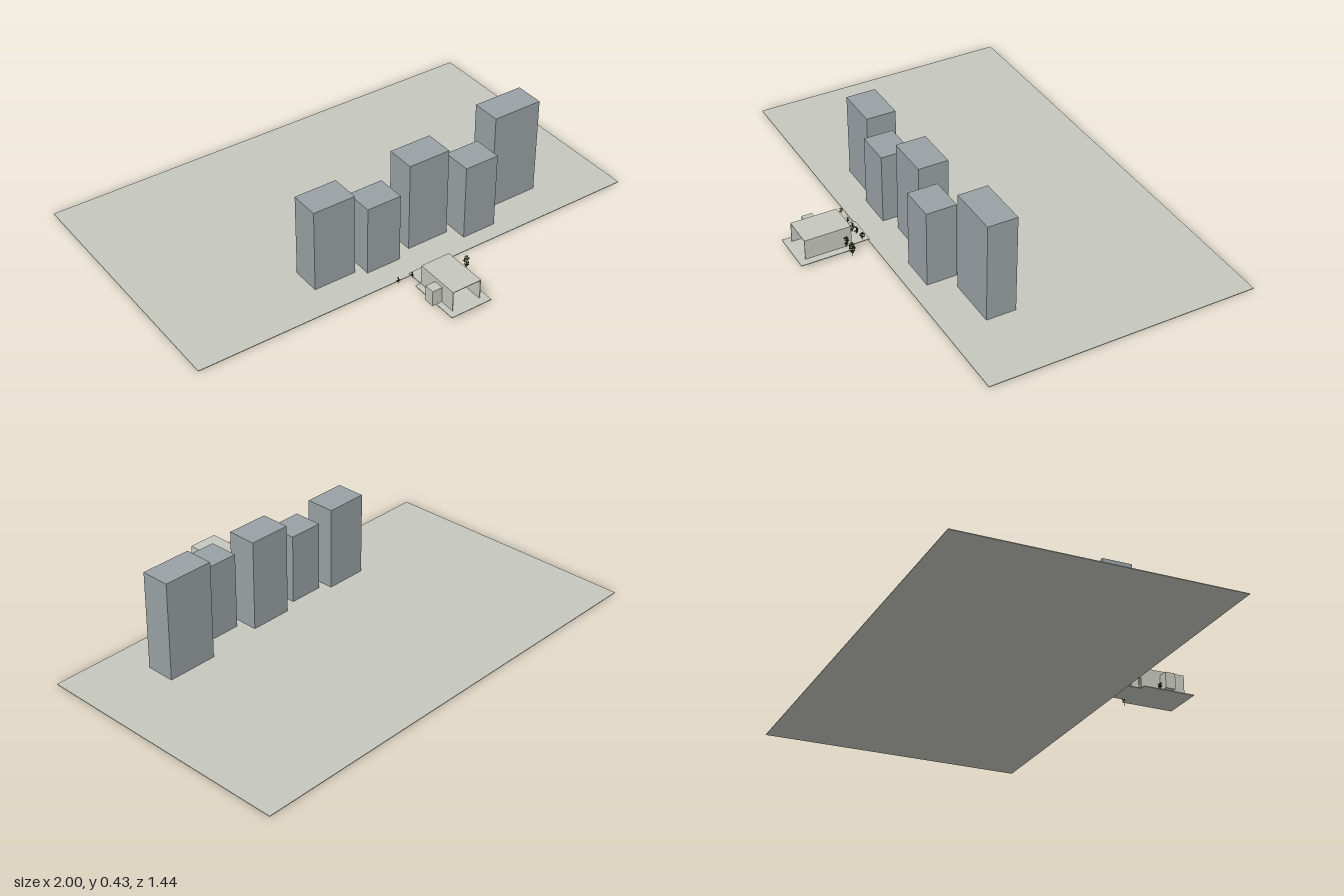
import * as THREE from 'three';

export function createModel() {
  const model = new THREE.Group();
  const mat = (name, color) => {
    const m = new THREE.MeshStandardMaterial({ color });
    m.name = name;
    return m;
  };
  const concrete = mat('pale concrete', 0xc6c8be);
  const towerGrey = mat('tower grey', 0x99a1a4);
  const leafGreen = mat('dark leaf green', 0x36451f);
  leafGreen.side = THREE.DoubleSide;
  const bark = mat('bark brown', 0x3a3022);

  // Box given by its limits on each axis
  const block = (name, material, x0, x1, y0, y1, z0, z1, parent = model) => {
    const mesh = new THREE.Mesh(new THREE.BoxGeometry(x1 - x0, y1 - y0, z1 - z0), material);
    mesh.position.set((x0 + x1) / 2, (y0 + y1) / 2, (z0 + z1) / 2);
    mesh.name = name;
    parent.add(mesh);
    return mesh;
  };

  // Ground plate
  block('ground', concrete, -1, 1, 0, 0.003, -0.72, 0.415);

  // Five plain towers: x range, z range, height
  [
    [-0.408, -0.224, 0.152, 0.278, 0.363],
    [-0.188, -0.036, 0.185, 0.31, 0.304],
    [0.03, 0.215, 0.152, 0.278, 0.394],
    [0.25, 0.402, 0.217, 0.344, 0.332],
    [0.465, 0.685, 0.123, 0.248, 0.426],
  ].forEach(([x0, x1, z0, z1, h], i) => block('tower' + (i + 1), towerGrey, x0, x1, 0.001, h, z0, z1));

  // Pavilion: floor, terrace, roof, walls and side annex
  const pavilion = new THREE.Group();
  pavilion.name = 'pavilion';
  model.add(pavilion);
  const part = (name, ...limits) => block(name, concrete, ...limits, pavilion);
  const floorY = 0.018, roofY = 0.102;
  part('floor', -0.095, 0.09, 0.015, floorY, 0.49, 0.717);
  part('terrace', -0.07, 0.06, 0.015, floorY, 0.415, 0.49);
  part('roof', -0.07, 0.06, roofY, 0.105, 0.492, 0.687);
  part('leftWall', 0.057, 0.06, floorY, roofY, 0.492, 0.687);
  part('rightWall', -0.07, -0.067, floorY, roofY, 0.492, 0.687);
  // Back wall panels with two tall slots between them
  [[-0.067, -0.058], [-0.048, 0.008], [0.022, 0.057]].forEach(([x0, x1]) =>
    part('backWallPanel', x0, x1, floorY, roofY, 0.492, 0.495));
  part('annex', -0.114, -0.07, floorY, 0.086, 0.578, 0.622);

  // Seeded number source for the foliage
  let seed = 7;
  const rand = () => (seed = (seed * 16807) % 2147483647) / 2147483647;

  // Loose cluster of small diamond leaves inside an ellipsoid, on a thin stem
  const leaf = new THREE.CircleGeometry(0.0045, 4).scale(0.7, 1.2, 1);
  const plant = (name, x, z, y0, y1, radius, count) => {
    const g = new THREE.Group();
    g.name = name;
    const h = y1 - y0;
    const stem = new THREE.Mesh(new THREE.CylinderGeometry(0.0008, 0.0012, h * 0.7, 5), bark);
    stem.position.y = h * 0.35;
    stem.name = 'stem';
    g.add(stem);
    for (let i = 0; i < count; i++) {
      const a = rand() * Math.PI * 2;
      const t = rand() * 2 - 1;
      const r = radius * Math.sqrt(1 - t * t) * (0.4 + 0.6 * rand());
      const m = new THREE.Mesh(leaf, leafGreen);
      m.position.set(r * Math.cos(a), h * (0.6 + 0.36 * t), r * Math.sin(a));
      m.rotation.set(rand() * 3, rand() * 6, rand() * 3);
      m.name = 'leaf';
      g.add(m);
    }
    g.position.set(x, y0, z);
    model.add(g);
  };
  plant('tallTree', 0.125, 0.52, 0.018, 0.082, 0.012, 60);
  plant('wallTree', 0.065, 0.517, 0.018, 0.07, 0.009, 40);
  plant('annexShrub', -0.08, 0.57, 0.018, 0.05, 0.007, 24);
  plant('terraceShrub', -0.016, 0.455, 0.018, 0.058, 0.012, 34);
  plant('terraceShrub', 0.004, 0.445, 0.018, 0.048, 0.008, 20);
  plant('terraceShrub', 0.047, 0.441, 0.018, 0.05, 0.009, 22);
  plant('terraceShrub', -0.075, 0.445, 0.02, 0.042, 0.004, 8);
  plant('outerShrub', -0.14, 0.443, 0.02, 0.046, 0.005, 10);

  return model;
}
